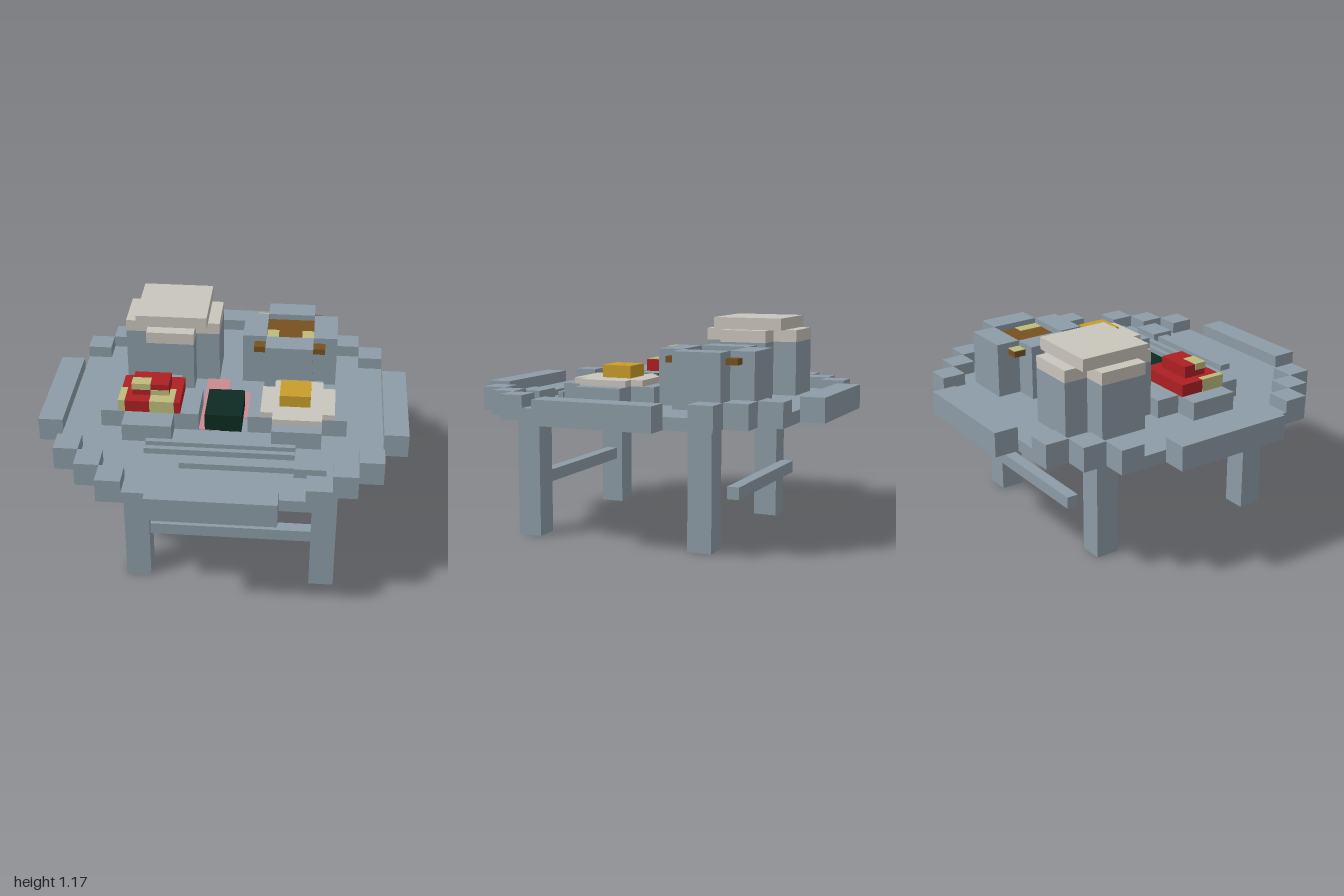
import * as THREE from 'three';

const U = 1 / 15; // one block unit

function material(name, color) {
  const m = new THREE.MeshStandardMaterial({ color });
  m.name = name;
  return m;
}

export function createModel() {
  const model = new THREE.Group();
  model.name = 'diningTable';
  const slate = material('slate', 0x8c9ca6);
  const cream = material('cream', 0xc9c5bc);
  const red = material('red', 0xad2023);
  const olive = material('olive', 0xbdbb7c);
  const gold = material('gold', 0xc99d2b);
  const brown = material('brown', 0x775020);
  const pink = material('pink', 0xc98b90);
  const dark = material('darkGreen', 0x0d2b22);

  // Box given by its limits in block units
  function box(parent, name, mat, x0, x1, y0, y1, z0, z1) {
    const g = new THREE.BoxGeometry((x1 - x0) * U, (y1 - y0) * U, (z1 - z0) * U);
    const mesh = new THREE.Mesh(g, mat);
    mesh.position.set((x0 + x1) / 2 * U, (y0 + y1) / 2 * U, (z0 + z1) / 2 * U);
    mesh.name = name;
    parent.add(mesh);
    return mesh;
  }

  function group(name) {
    const g = new THREE.Group();
    g.name = name;
    model.add(g);
    return g;
  }

  // Four arms around a square centre, which may be left open
  function cross(parent, name, mat, cx, cz, outer, inner, y0, y1, open = false) {
    for (const s of [-1, 1]) {
      const lo = s < 0 ? -outer : inner, hi = s < 0 ? -inner : outer;
      box(parent, name + 'Side', mat, cx + lo, cx + hi, y0, y1, cz - inner, cz + inner);
      box(parent, name + 'End', mat, cx - inner, cx + inner, y0, y1, cz + lo, cz + hi);
    }
    if (!open) box(parent, name + 'Centre', mat, cx - inner, cx + inner, y0, y1, cz - inner, cz + inner);
  }

  // Stepped round tabletop
  const quarter = [[13, 7], [11, 7], [11, 9], [9, 9], [9, 11], [7, 11], [7, 13]];
  const back = [...quarter].reverse();
  const outline = [
    ...quarter,
    ...back.map(([x, y]) => [-x, y]),
    ...quarter.map(([x, y]) => [-x, -y]),
    ...back.map(([x, y]) => [x, -y]),
  ].map(([x, y]) => new THREE.Vector2(x * U, y * U));
  const slabGeometry = new THREE.ExtrudeGeometry(new THREE.Shape(outline), { depth: U, bevelEnabled: false });
  slabGeometry.rotateX(-Math.PI / 2).translate(0, 10 * U, 0);
  const slab = new THREE.Mesh(slabGeometry, slate);
  slab.name = 'tabletop';
  model.add(slab);

  // Raised rim blocks
  const rim = group('rim');
  for (const s of [-1, 1]) {
    box(rim, 'rimEnd', slate, -5, 5, 10, 12, 14 * s - 1, 14 * s + 1);
    box(rim, 'rimSide', slate, 14 * s - 1, 14 * s + 1, 10, 12, -5, 5);
    for (const t of [-1, 1]) {
      for (const [x, z] of [[8, 12], [10, 10], [12, 8]]) {
        box(rim, 'rimCorner', slate, s * x - 1, s * x + 1, 10, 12, t * z - 1, t * z + 1);
      }
    }
  }

  // Legs and stretchers
  for (const x of [-7.5, 7.5]) {
    for (const z of [-7.5, 7.5]) box(model, 'leg', slate, x, x + 2, 0, 10, z, z + 2);
  }
  box(model, 'frontStretcher', slate, -5.5, 7.5, 4, 5, 8, 9);
  box(model, 'backStretcher', slate, -5.5, 7.5, 4, 5, -9, -8);

  // Tall pot heaped with rice
  const pot = group('ricePot');
  cross(pot, 'potWall', slate, -5, -6, 4, 2, 11, 15.5);
  cross(pot, 'rice', cream, -5, -6, 4, 2, 15.5, 16.5);
  box(pot, 'riceTop', cream, -8, -2, 16.5, 17.5, -9, -3);

  // Open pot with soup showing in the well and at the corners
  const soupPot = group('soupPot');
  cross(soupPot, 'soupPotWall', slate, 5, -6, 4, 2, 11, 15.5, true);
  box(soupPot, 'soup', brown, 2, 8, 14.5, 15, -9, -3);
  for (const x of [3, 6]) box(soupPot, 'soupGarnish', olive, x, x + 1, 15, 15.06, -6, -4);
  box(soupPot, 'cornerGarnish', olive, 2, 3, 15, 15.06, -9, -8);

  // Left plate with layered red food
  const redDish = group('redDish');
  cross(redDish, 'plate', slate, -6, 2, 4, 2, 11, 12.5);
  box(redDish, 'lowerFood', red, -8.5, -3.5, 12.5, 13.5, 0, 4);
  box(redDish, 'upperFood', red, -7.5, -4.5, 13.5, 14.5, 1, 3);
  const e = 0.05;
  box(redDish, 'foodPatch', olive, -8.5 - e, -8, 12.5, 13.5 + e, 2, 4 + e);
  box(redDish, 'foodPatch', olive, -6, -4, 12.5, 13.5 + e, 3, 4 + e);
  box(redDish, 'foodPatch', olive, -4.5, -4, 13.5, 13.5 + e, 2, 3);
  box(redDish, 'foodPatch', olive, -7.5 - e, -6, 14, 14.5 + e, 2, 3 + e);
  box(redDish, 'foodPatch', olive, -6, -4.5, 13.5, 14, 3, 3 + e);

  // Right plate with cream food and a golden cube
  const creamDish = group('creamDish');
  cross(creamDish, 'plate', slate, 6, 2, 4, 2, 11, 12.5);
  cross(creamDish, 'creamFood', cream, 6, 2, 3, 2, 12.5, 13);
  box(creamDish, 'goldenPiece', gold, 4.5, 7, 13, 14, 0.5, 3);

  // Dark cup on a pink cloth
  box(model, 'cup', dark, -1.5, 1.5, 11, 12.5, 0, 4);
  box(model, 'clothLeft', pink, -2, 0, 11, 11.06, -4, 4);
  box(model, 'clothRight', pink, 0, 2, 11, 11.06, -2, 2);

  // Chopsticks and spoon
  box(model, 'chopstick', slate, -6, 6, 11, 11.5, 6.25, 6.7);
  box(model, 'chopstick', slate, -6, 6, 11, 11.5, 7.25, 7.7);
  box(model, 'spoonHandle', slate, -3, 6, 11, 11.5, 8.5, 9.5);
  box(model, 'spoonBowl', slate, 6, 8.5, 11, 11.8, 8, 10);

  return model;
}
